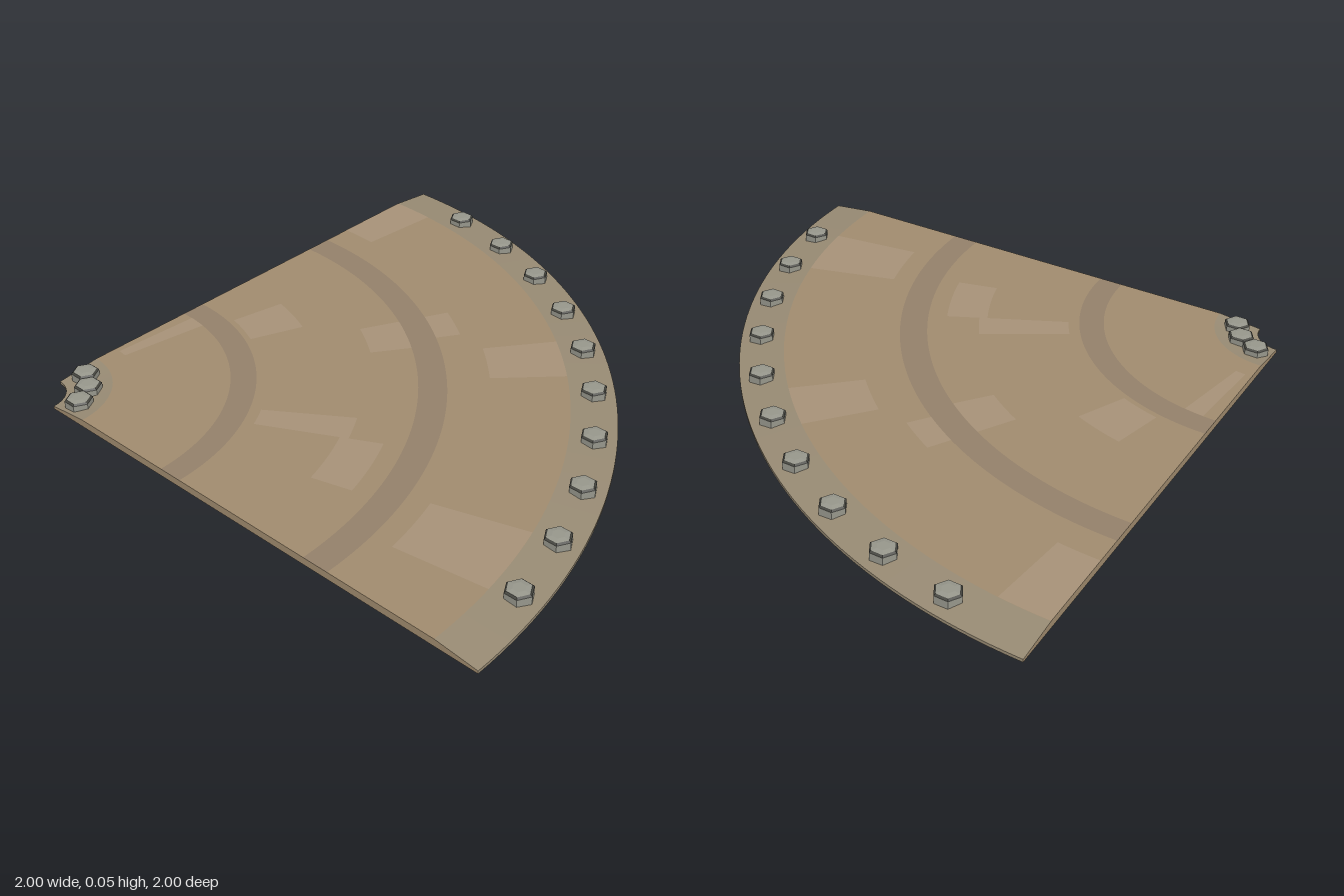
import * as THREE from 'three';

const OUTER = 2, INNER = 0.105;        // radii of the quarter ring
const RIM = 1.84, HUB = 0.265;         // where the sloped flanges begin
const TOP = 0.028, EDGE = 0.011;       // heights of the flat field and of the thin edges
const rad = THREE.MathUtils.degToRad;

const paint = (color, extra = {}) => new THREE.MeshStandardMaterial({ color, ...extra });
const sheet = paint(0xa08b6e);
const flange = paint(0x978a73);
const band = paint(0x93806a);
const patch = paint(0xa69178);
const steel = paint(0x96968b, { flatShading: true });
const darkSteel = paint(0x45453f, { flatShading: true });

// Surface swept round the corner; angles in degrees from the back edge towards the front edge
function sweep(name, points, material, a0 = 0, a1 = 90) {
  const segments = Math.max(2, Math.round((a1 - a0) / 1.5));
  const profile = points.map(([r, y]) => new THREE.Vector2(r, y));
  const geometry = new THREE.LatheGeometry(profile, segments, rad(180 - a1), rad(a1 - a0));
  const mesh = new THREE.Mesh(geometry, material);
  mesh.name = name;
  return mesh;
}

// Hexagonal bolt head with a dark chamfer and a slightly domed crown
function makeBolt(name) {
  const bolt = new THREE.Group();
  bolt.name = name;
  const ring = (part, points, material) => {
    const profile = points.map(([r, y]) => new THREE.Vector2(r, y));
    const mesh = new THREE.Mesh(new THREE.LatheGeometry(profile, 6, Math.PI / 6), material);
    mesh.name = part;
    bolt.add(mesh);
  };
  ring('boltSides', [[0.048, 0.004], [0.048, 0.043]], steel);
  ring('boltChamfer', [[0.048, 0.043], [0.041, 0.049]], darkSteel);
  ring('boltCrown', [[0.041, 0.049], [0.022, 0.052], [0, 0.052]], steel);
  return bolt;
}

export function createModel() {
  const model = new THREE.Group();
  model.name = 'quarterRoundPlate';
  const plate = new THREE.Group();
  plate.name = 'plate';
  plate.position.set(-1, 0, 1);
  model.add(plate);

  // Top field, split at the two darker arcs
  const steps = [HUB, 0.67, 0.76, 1.32, 1.42, RIM];
  for (let i = 0; i < steps.length - 1; i++) {
    const dark = i % 2 === 1;
    plate.add(sweep(dark ? 'darkArc' : 'topField',
      [[steps[i + 1], TOP], [steps[i], TOP]], dark ? band : sheet));
  }

  // Sloped flanges, thin edges and underside
  plate.add(sweep('outerFlange', [[OUTER, EDGE], [RIM, TOP]], flange));
  plate.add(sweep('innerFlange', [[HUB, TOP], [INNER, EDGE]], flange));
  plate.add(sweep('outerEdge', [[OUTER, 0], [OUTER, EDGE]], flange));
  plate.add(sweep('innerEdge', [[INNER, EDGE], [INNER, 0]], flange));
  plate.add(sweep('underside', [[INNER, 0], [OUTER, 0]], sheet));

  // Straight cut faces along the front and the model's right
  const section = new THREE.Shape([
    [INNER, 0], [OUTER, 0], [OUTER, EDGE], [RIM, TOP], [HUB, TOP], [INNER, EDGE],
  ].map(([r, y]) => new THREE.Vector2(r, y)));
  const cutMaterial = paint(0xa08b6e, { side: THREE.DoubleSide });
  ['frontCut', 'rightCut'].forEach((name, i) => {
    const cut = new THREE.Mesh(new THREE.ShapeGeometry(section), cutMaterial);
    cut.name = name;
    cut.rotation.y = i * Math.PI / 2;
    plate.add(cut);
  });

  // Paler worn patches: inner radius, outer radius, start and end angle
  const patches = [
    [1.53, 1.84, 0, 5.5], [1.57, 1.84, 39, 46], [1.17, 1.32, 29, 37], [1.42, 1.51, 29, 35],
    [0.78, 0.98, 13, 24], [0.8, 1.13, 57, 63], [1.1, 1.25, 63, 75], [1.5, 1.84, 73, 82],
    [0.35, 0.67, 4, 10],
  ];
  for (const [r0, r1, a0, a1] of patches) {
    plate.add(sweep('wornPatch', [[r1, TOP + 0.0008], [r0, TOP + 0.0008]], patch, a0, a1));
  }

  // Rows of bolts along both flanges
  const addBolts = (name, radius, count, start, step) => {
    for (let i = 0; i < count; i++) {
      const a = rad(start + i * step);
      const bolt = makeBolt(name);
      bolt.position.set(radius * Math.sin(a), 0, -radius * Math.cos(a));
      plate.add(bolt);
    }
  };
  addBolts('outerBolt', 1.923, 10, 9, 8);
  addBolts('innerBolt', 0.184, 3, 18, 27);

  return model;
}
